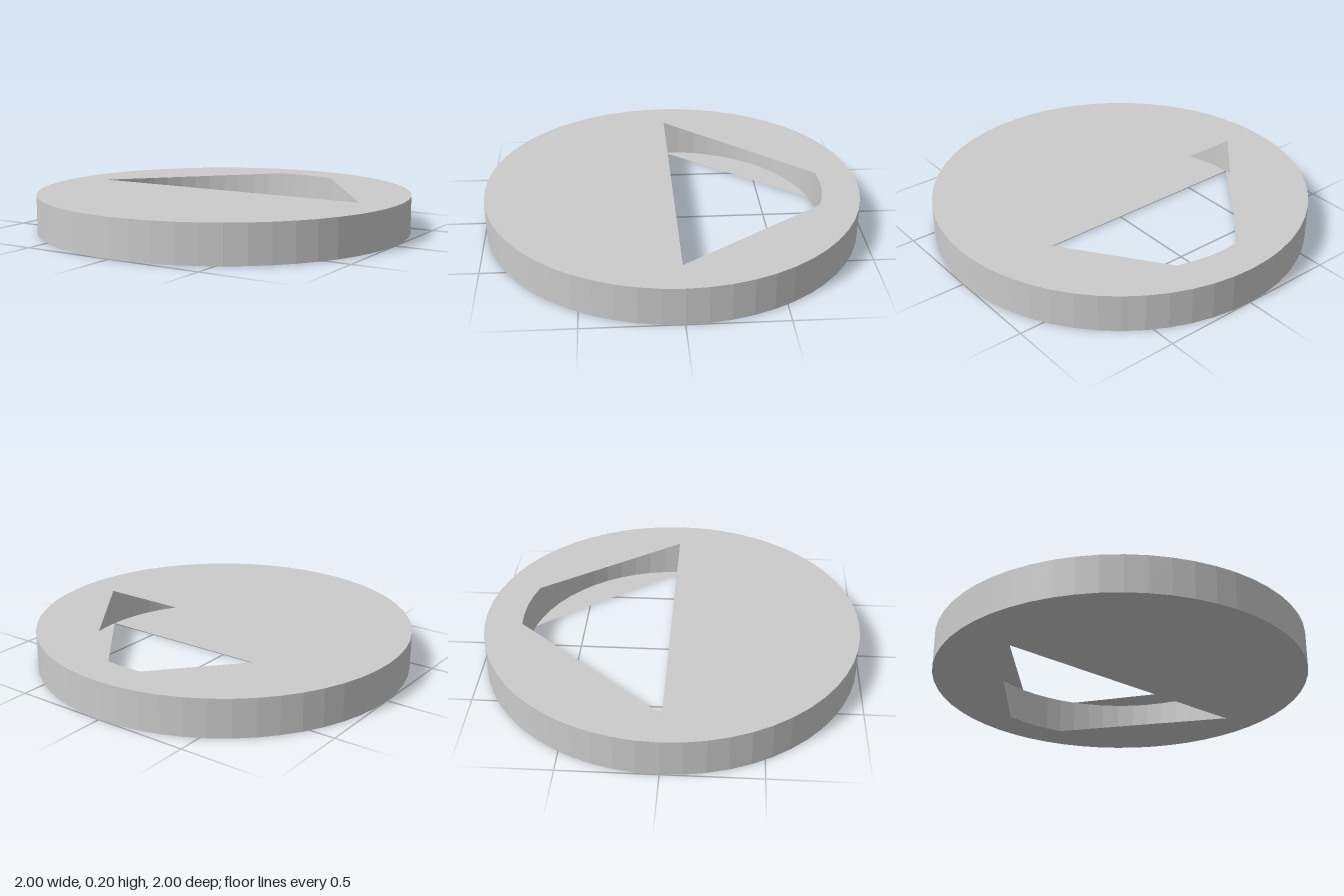
import * as THREE from 'three';

const SEGMENTS = 56, HEIGHT = 0.2, OUTER = 1, INNER = 0.8;
const STEP = (Math.PI * 2) / SEGMENTS;
const material = new THREE.MeshStandardMaterial({
  color: 0xcccccc, flatShading: true, side: THREE.DoubleSide,
});

const onCircle = (radius, i) =>
  new THREE.Vector2(radius * Math.cos(i * STEP), radius * Math.sin(i * STEP));

// Thin disc with an opening from the diameter to a short arc at the back
function plate(name, y, arcStart, arcEnd, facing) {
  const rim = [];
  for (let i = 0; i < SEGMENTS; i++) rim.push(onCircle(OUTER, i));
  const opening = [onCircle(INNER, 0)];
  for (let i = arcStart; i <= arcEnd; i++) opening.push(onCircle(INNER, i));
  opening.push(onCircle(INNER, SEGMENTS / 2));

  const shape = new THREE.Shape(rim);
  shape.holes.push(new THREE.Path(opening.reverse()));
  const geometry = new THREE.ShapeGeometry(shape);
  // Reverse the winding of the plate that faces down
  if (facing < 0) geometry.index.array.reverse();
  geometry.rotateX(-Math.PI / 2);
  geometry.computeVertexNormals();
  const mesh = new THREE.Mesh(geometry, material);
  mesh.name = name;
  mesh.position.y = y;
  return mesh;
}

// Open round wall, turned inside out when it faces the cavity
function wall(name, radius, inward) {
  const geometry = new THREE.CylinderGeometry(radius, radius, HEIGHT, SEGMENTS, 1, true);
  if (inward) {
    geometry.index.array.reverse();
    geometry.computeVertexNormals();
  }
  const mesh = new THREE.Mesh(geometry, material);
  mesh.name = name;
  mesh.position.y = HEIGHT / 2;
  return mesh;
}

export function createModel() {
  const group = new THREE.Group();
  group.name = 'hollowDisc';
  group.add(
    wall('outerWall', OUTER, false),
    wall('innerWall', INNER, true),
    plate('topPlate', HEIGHT, 11, 15, 1),
    plate('bottomPlate', 0, 12, 16, -1),
  );
  return group;
}
